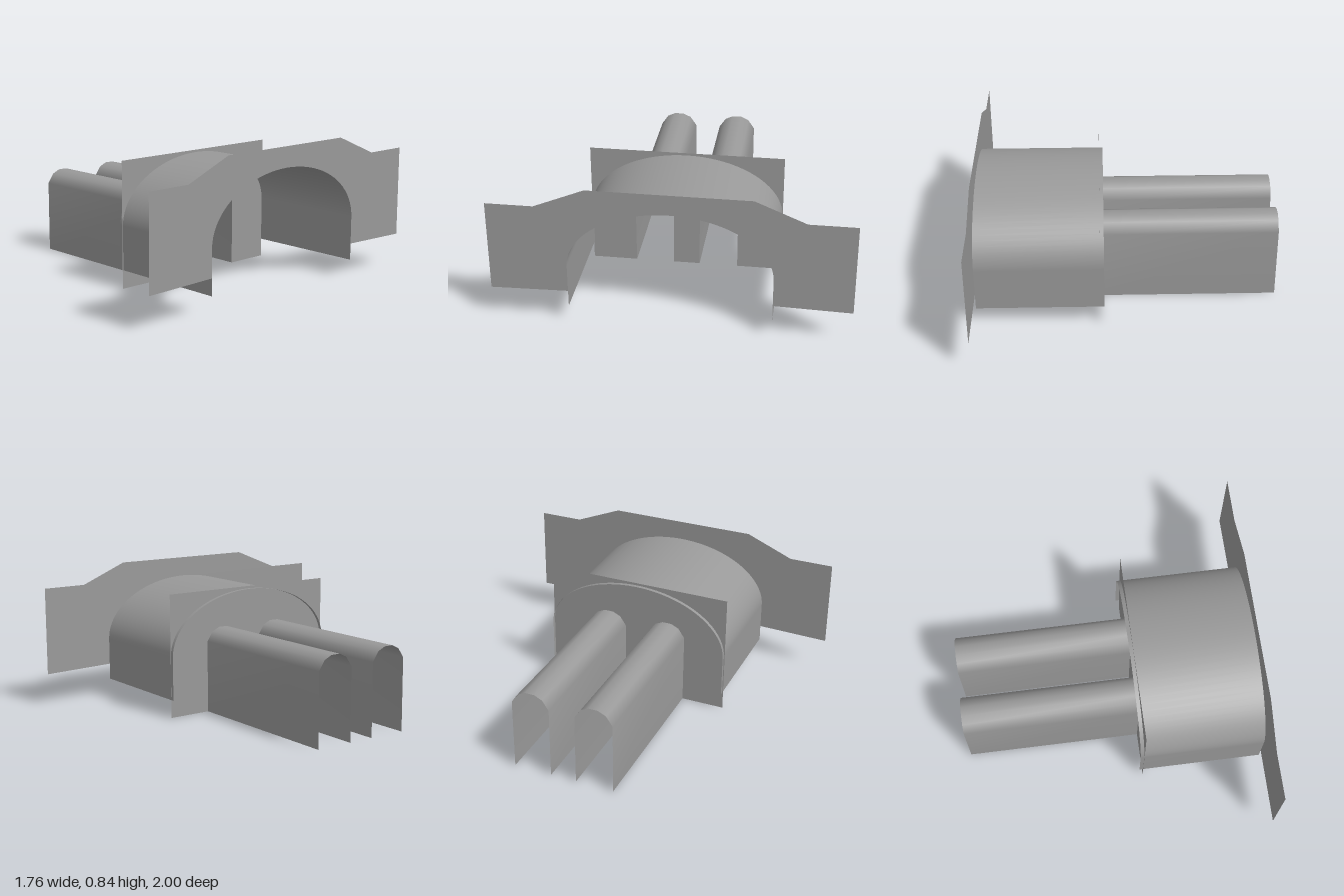
import * as THREE from 'three';

const material = new THREE.MeshStandardMaterial({ color: 0x999999, side: THREE.DoubleSide });

// Open smooth shell: a [z, y] profile (from +z over the top to -z) swept along x
function sweep(name, profile, x0, x1) {
  const positions = [], index = [];
  profile.forEach(([z, y], i) => {
    positions.push(x0, y, z, x1, y, z);
    const a = 2 * i;
    if (i < profile.length - 1) index.push(a, a + 1, a + 3, a, a + 3, a + 2);
  });
  const geometry = new THREE.BufferGeometry();
  geometry.setAttribute('position', new THREE.Float32BufferAttribute(positions, 3));
  geometry.setIndex(index);
  geometry.computeVertexNormals();
  const mesh = new THREE.Mesh(geometry, material);
  mesh.name = name;
  return mesh;
}

// Flat sheet standing across the x axis, outlined by [z, y] points
function sheet(name, outline, x) {
  const shape = new THREE.Shape(outline.map(([z, y]) => new THREE.Vector2(z, y)));
  const geometry = new THREE.ShapeGeometry(shape).rotateY(-Math.PI / 2).translate(x, 0, 0);
  const mesh = new THREE.Mesh(geometry, material);
  mesh.name = name;
  return mesh;
}

// Arch of the wide vault: straight legs and a half-ellipse top
function vaultProfile(bottom) {
  const halfWidth = 0.565, spring = 0.365, rise = 0.358, segments = 40;
  const points = [[halfWidth, bottom]];
  for (let i = 0; i <= segments; i++) {
    const t = (Math.PI * i) / segments;
    points.push([halfWidth * Math.cos(t), spring + rise * Math.sin(t)]);
  }
  points.push([-halfWidth, bottom]);
  return points;
}

// Small bore: straight legs and a five-sided crown
function boreProfile(centre) {
  const half = [[0.114, 0], [0.114, 0.43], [0.075, 0.487], [0.028, 0.509]];
  const mirrored = half.map(([z, y]) => [-z, y]).reverse();
  return [...half, ...mirrored].map(([z, y]) => [centre + z, y]);
}

export function createModel() {
  const model = new THREE.Group();
  model.name = 'tunnel';

  // Wide vault
  model.add(sweep('wideVault', vaultProfile(0.108), 0.14, 0.878));

  // Portal wall around the mouth of the wide vault
  model.add(sheet('portalWall', [
    [1, 0.195], [1, 0.725], [0.733, 0.725], [0.45, 0.842],
    [-0.45, 0.842], [-0.733, 0.725], [-1, 0.725], [-1, 0.195],
    ...vaultProfile(0.205).reverse(),
  ], 0.878));

  // Two narrow bores
  const bores = [0.194, -0.19].map(boreProfile);
  model.add(sweep('leftBore', bores[0], -0.878, 0.162));
  model.add(sweep('rightBore', bores[1], -0.878, 0.162));

  // Dividing wall with an opening for each bore
  model.add(sheet('dividingWall', [
    [0.57, 0], ...bores[0], ...bores[1],
    [-0.566, 0], [-0.566, 0.737], [0.57, 0.737],
  ], 0.162));

  return model;
}
